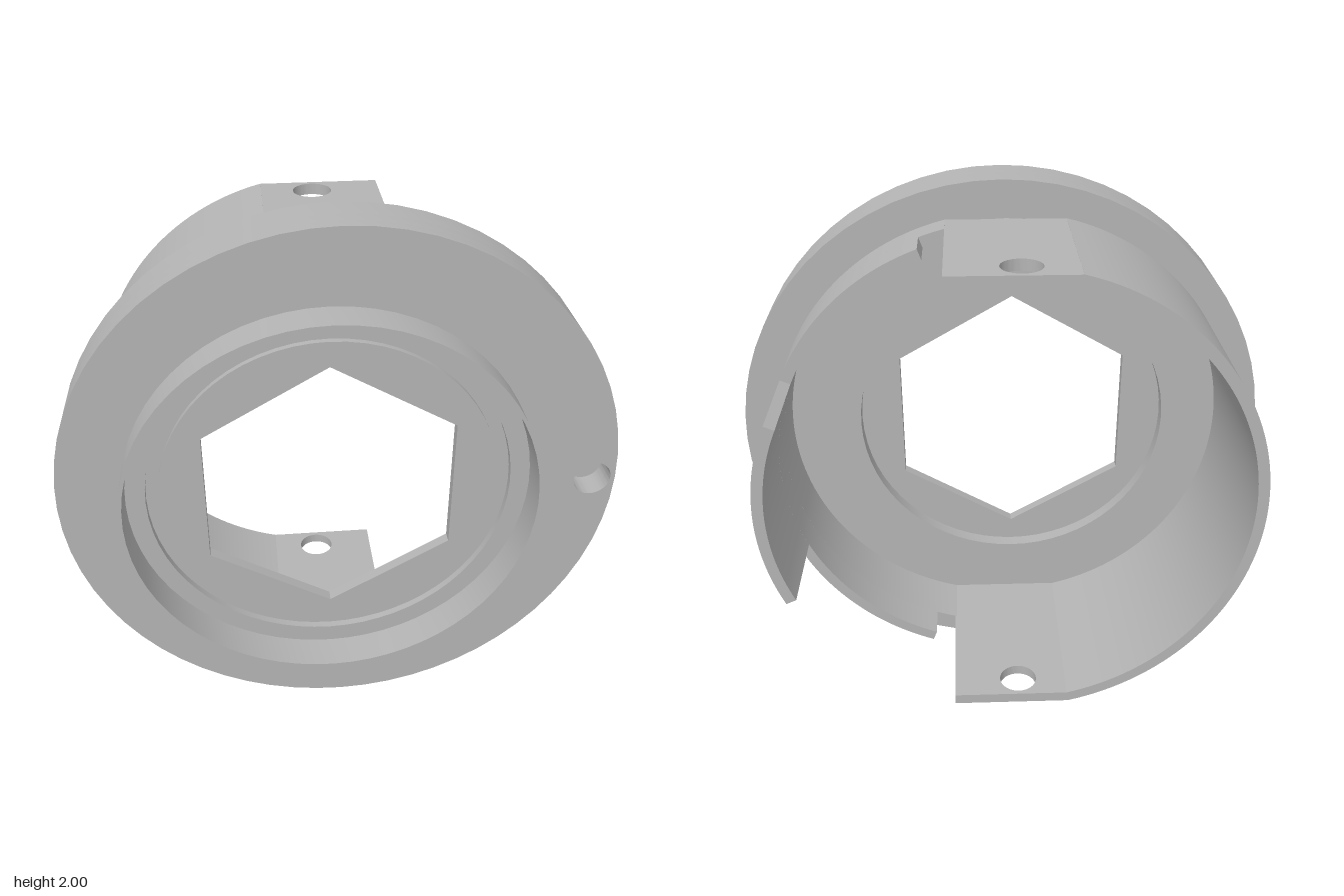
import * as THREE from 'three';
import { toCreasedNormals } from 'three/addons/utils/BufferGeometryUtils.js';

const metal = new THREE.MeshStandardMaterial({ color: 0xb4b4b4 });
metal.name = 'grey';

const CORE_X = -0.045; // axis of the lip and hexagonal opening
const TUBE_X = -0.016; // axis of the rear sleeve
const R_OUT = 0.886, R_IN = 0.846;
const rad = THREE.MathUtils.degToRad;

export function createModel() {
  const model = new THREE.Group();
  model.name = 'flangedCollar';
  const body = new THREE.Group();
  body.name = 'body';
  body.position.y = 1;
  model.add(body);

  const circle = (x, r, T = THREE.Path) => new T().absarc(x, 0, r, 0, Math.PI * 2, false);

  // Extrude an outline with holes from z0 to z1
  const slab = (name, shape, holes, z0, z1) => {
    shape.holes.push(...holes);
    const geo = new THREE.ExtrudeGeometry(shape, { depth: z1 - z0, bevelEnabled: false, curveSegments: 32 });
    geo.translate(0, 0, z0);
    const mesh = new THREE.Mesh(toCreasedNormals(geo, 0.5), metal);
    mesh.name = name;
    body.add(mesh);
    return mesh;
  };
  const disc = (x, r) => circle(x, r, THREE.Shape);

  // Flange in three layers: rear bore, inner floor, front ledge
  const FX = -0.003, FR = 0.998;
  const pinHole = () => circle(0.91, 0.068);
  slab('flangeRear', disc(FX, FR), [circle(TUBE_X, 0.862)], 0.125, 0.23);
  slab('flangeFloor', disc(FX, FR), [circle(CORE_X, 0.605), pinHole()], 0.23, 0.285);
  slab('flangeFront', disc(FX, FR), [circle(CORE_X, 0.65), pinHole()], 0.285, 0.332);

  // Thin raised lip on the front
  slab('frontLip', disc(CORE_X, 0.733), [circle(CORE_X, 0.72)], 0.332, 0.463);

  // Plate with hexagonal opening and a shallow groove round it
  const hexagon = () => new THREE.Path().setFromPoints(
    Array.from({ length: 7 }, (_, i) => {
      const a = Math.PI / 2 + (i % 6) * Math.PI / 3;
      return new THREE.Vector2(CORE_X + 0.511 * Math.cos(a), 0.511 * Math.sin(a));
    }));
  slab('hexPlate', disc(CORE_X, 0.65), [hexagon()], 0.285, 0.305);
  slab('hexPlateFace', disc(CORE_X, 0.605), [hexagon()], 0.305, 0.327);

  // Curved wall sections of the rear sleeve, angles in degrees
  const wall = (name, a0, a1, z0, z1) => {
    const s = new THREE.Shape();
    s.absarc(TUBE_X, 0, R_OUT, rad(a0), rad(a1), false);
    s.absarc(TUBE_X, 0, R_IN, rad(a1), rad(a0), true);
    slab(name, s, [], z0, z1);
  };
  wall('sleeveMain', 104, 256, -0.462, 0.23);
  wall('sleeveBase', -76, 76, 0.015, 0.23);
  wall('sleeveRim', -69.8, 69.8, -0.115, 0.015);
  wall('sideTab', -24, 24, -0.462, -0.115);

  // Flat plates at top and bottom, each with a round hole
  for (const side of [1, -1]) {
    const s = new THREE.Shape();
    s.moveTo(-0.231, -0.23);
    s.lineTo(0.2, -0.23);
    s.lineTo(0.2, 0.462);
    s.lineTo(-0.231, 0.462);
    s.closePath();
    const hole = new THREE.Path().absarc(CORE_X, 0.375, 0.07, 0, Math.PI * 2, false);
    const plate = slab(side > 0 ? 'topFlat' : 'bottomFlat', s, [hole], 0, 0.04);
    plate.rotation.x = -Math.PI / 2;
    plate.position.y = side > 0 ? 0.819 : -0.859;
  }
  return model;
}
